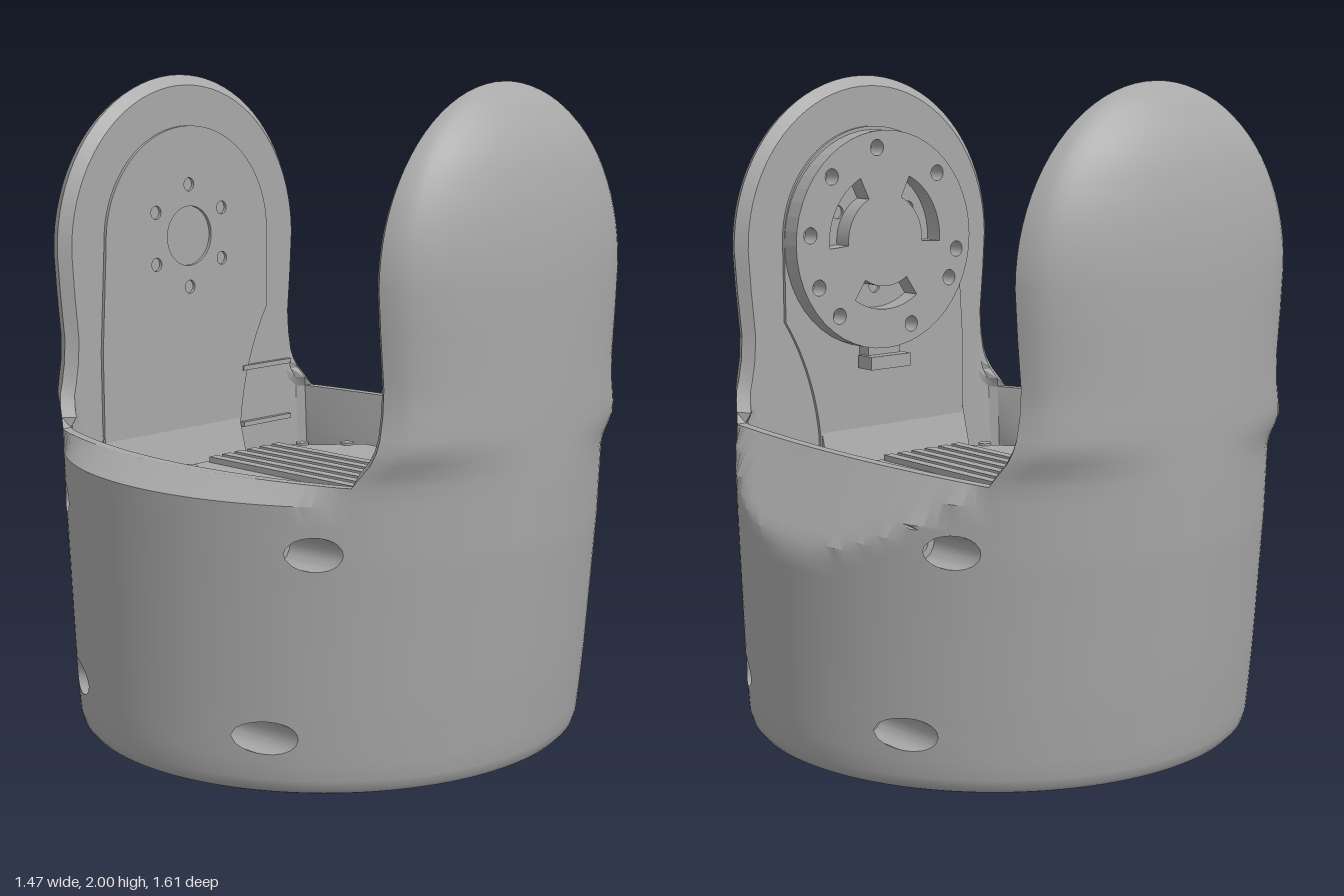
import * as THREE from 'three';
import { toCreasedNormals } from 'three/addons/utils/BufferGeometryUtils.js';

const grey = new THREE.MeshStandardMaterial({ color: 0xa8a8a8, side: THREE.DoubleSide });
grey.name = 'plain grey';

const STEP = Math.PI / 72, C45 = Math.SQRT1_2; // 144 columns round the shell
const range = (a, b) => Array.from({ length: b - a + 1 }, (_, i) => a + i);
const clamp = THREE.MathUtils.clamp, mix = THREE.MathUtils.lerp;

// Piecewise linear profile
const table = (pts) => (y) => {
  for (let i = 1; i < pts.length; i++) {
    if (y <= pts[i][0]) {
      const [p, q] = [pts[i - 1], pts[i]];
      return mix(p[1], q[1], clamp((y - p[0]) / (q[0] - p[0]), 0, 1));
    }
  }
  return pts[pts.length - 1][1];
};
const halfX = table([[0.165, 0.7], [0.172, 0.715], [0.185, 0.725], [0.21, 0.732], [0.28, 0.735], [1, 0.735]]);
const halfZ = table([[0.165, 0.69], [0.172, 0.707], [0.185, 0.718], [0.21, 0.725], [0.4, 0.75], [0.6, 0.77], [0.8, 0.79],
  [1, 0.8], [1.2, 0.803], [1.5, 0.803], [1.6, 0.798], [1.7, 0.785], [1.8, 0.762], [1.87, 0.735], [1.95, 0.685], [2, 0.625]]);
const neck = table([[1, 0.52], [1.06, 0.495], [1.12, 0.475], [1.18, 0.464], [1.25, 0.46], [1.38, 0.472], [1.5, 0.48]]);
const prongW = (y) => (y < 1.5 ? neck(y) : 0.48 * Math.sqrt(Math.max(0, 1 - ((y - 1.5) / 0.5) ** 2)));
const capRight = table([[0.75, 0.8], [0.8, 0.715], [1, 0.56]]);
const capLeft = table([[0.94, 0.76], [0.95, 0.735], [1, 0.635]]);
const ellipseZ = (x, y) => halfZ(y) * Math.sqrt(Math.max(0, 1 - (x / halfX(y)) ** 2));

// Outer skin: an oval body with chamfered side lips, and two prongs above y = 1
function outer(t, y) {
  const c = Math.cos(t), s = Math.sin(t);
  if (y <= 1) {
    const z = halfZ(y) * s;
    const cap = c > 0 ? capRight(y) - 0.12 * z * z * clamp((y - 0.8) / 0.2, 0, 1)
      : capLeft(y) - 0.35 * z * z * clamp((y - 0.95) / 0.05, 0, 1);
    return [clamp(halfX(y) * c, -cap, cap), y, z];
  }
  const k = c / C45, x = prongW(y) * k;
  const rounded = 0.62 + (halfZ(y) - 0.62) * Math.max(0, 1 - k * k) ** 0.6;
  return [x, y, Math.sign(s) * mix(ellipseZ(x, y), rounded, THREE.MathUtils.smoothstep(y, 1, 1.12))];
}
// Inner skin: a boxy cavity and flat prong faces
function inner(t, y) {
  const c = Math.cos(t), s = Math.sin(t);
  if (Math.abs(s) > C45 - 1e-6) {
    const x = prongW(Math.max(y, 1)) * 0.94 * c / C45;
    const z = y > 1 ? Math.abs(outer(t, y)[2]) : ellipseZ(x, y);
    return [x, y > 1.5 ? 1.5 + (y - 1.5) * 0.94 : y, Math.sign(s) * Math.min(0.59, z - 0.03)];
  }
  const zc = Math.min(0.59, ellipseZ(0.489, y) - 0.03);
  const lip = Math.abs(outer(t, 1)[0]) - 0.03;
  return [Math.sign(c) * mix(0.489, lip, clamp((y - 0.82) / 0.18, 0, 1)), y, zc * s / C45];
}

function surface(name, tris, crease = 0.6) {
  const g = new THREE.BufferGeometry();
  g.setAttribute('position', new THREE.Float32BufferAttribute(tris.flat(), 3));
  const m = new THREE.Mesh(toCreasedNormals(g, crease), grey);
  m.name = name;
  return m;
}
const quad = (out, a, b, c, d) => out.push(a, b, c, a, c, d);
function sheet(out, cols, rows, fn, skip = () => false) {
  for (let i = 0; i + 1 < rows.length; i++) for (let j = 0; j + 1 < cols.length; j++) {
    if (skip(i, cols[j])) continue;
    quad(out, fn(cols[j], rows[i]), fn(cols[j], rows[i + 1]), fn(cols[j + 1], rows[i + 1]), fn(cols[j + 1], rows[i]));
  }
}

function buildShell(group) {
  const skin = [], lining = [];
  const rows = [0.165, 0.172, 0.185, 0.21, 0.26, 0.29, 0.325, 0.36, 0.39, 0.46, 0.55, 0.65, 0.72, 0.76, 0.8, 0.825, 0.85, 0.89, 0.95, 1];
  const prongRows = [1, 1.03, 1.06, 1.09, 1.12, 1.18, 1.25, 1.38];
  for (let i = 0; i <= 20; i++) prongRows.push(1.5 + 0.5 * Math.sin(i * Math.PI / 40));

  // Counterbored screw holes, mirrored to all four corners
  const holes = [];
  for (const back of [false, true]) for (const left of [false, true])
    for (const [c0, c1, r0, r1, x, y, shelf] of [[11, 19, 13, 17, 0.575, 0.825, 0.36], [7, 17, 4, 8, 0.633, 0.325, 0.2]]) {
      let [p, q] = left ? [72 - c1, 72 - c0] : [c0, c1];
      if (back) [p, q] = [144 - q, 144 - p];
      holes.push({ c0: p, c1: q, r0, r1, x: left ? -x : x, y, back, shelf: back ? -shelf : shelf });
    }
  const inHole = (i, j) => holes.some((h) => j >= h.c0 && j < h.c1 && i >= h.r0 && i < h.r1);
  sheet(skin, range(0, 144), rows, (j, y) => outer(j * STEP, y), inHole);
  for (const h of holes) {
    const loop = [];
    for (let j = h.c0; j < h.c1; j++) loop.push([j, h.r0]);
    for (let i = h.r0; i < h.r1; i++) loop.push([h.c1, i]);
    for (let j = h.c1; j > h.c0; j--) loop.push([j, h.r1]);
    for (let i = h.r1; i > h.r0; i--) loop.push([h.c0, i]);
    const chains = loop.map(([j, i]) => {
      const t = j * STEP, y = rows[i], p = outer(t, y);
      const ang = Math.atan2(y - h.y, p[0] - h.x), dx = Math.cos(ang), dy = Math.sin(ang);
      const cx = h.x + 0.045 * dx, cy = h.y + 0.045 * dy;
      const a = Math.acos(cx / halfX(cy)), ct = h.back ? 2 * Math.PI - a : a;
      const chain = [0, 1, 2, 3].map((m) => outer(mix(t, ct, m / 3), mix(y, cy, m / 3)));
      chain.push([cx, cy, h.shelf], [h.x + 0.025 * dx, h.y + 0.025 * dy, h.shelf]);
      if (!h.back) chain.push([h.x + 0.025 * dx, h.y + 0.025 * dy, -h.shelf]);
      return chain;
    });
    chains.forEach((a, k) => {
      const b = chains[(k + 1) % chains.length];
      for (let m = 0; m + 1 < a.length; m++) quad(skin, a[m], a[m + 1], b[m + 1], b[m]);
    });
  }
  // Bottom rim
  sheet(skin, range(0, 144), [0, 1, 2], (j, v) => {
    const p = outer(j * STEP, 0.165), f = v === 2 ? 1 : 0.94;
    return [p[0] * f, v === 0 ? 0.23 : 0.165, p[2] * f];
  });
  // Side lips, cavity walls and prongs
  const down = [1, 0.95, 0.9, 0.86, 0.82, 0.6, 0.4, 0.24];
  for (const [a, b] of [[-18, 18], [54, 90]]) {
    sheet(lining, range(a, b), [0, 1], (j, v) => (v ? inner : outer)(j * STEP, 1));
    sheet(lining, range(a, b), down, (j, y) => inner(j * STEP, y));
  }
  for (const [a, b] of [[18, 54], [90, 126]]) {
    sheet(skin, range(a, b), prongRows, (j, y) => outer(j * STEP, y));
    sheet(lining, range(a, b), [...prongRows].reverse().concat(down.slice(1)), (j, y) => inner(j * STEP, y));
    for (const e of [a, b])
      sheet(lining, e === a ? [0, 1] : [1, 0], prongRows, (v, y) => (v === 0 ? inner : outer)(e * STEP, y));
  }
  group.add(surface('outerShell', skin), surface('shellLining', lining, 0.4));
}

export function createModel() {
  const group = new THREE.Group();
  const add = (name, geo, x = 0, y = 0, z = 0) => {
    const m = new THREE.Mesh(geo, grey);
    m.name = name;
    m.position.set(x, y, z);
    group.add(m);
    return m;
  };
  const box = (name, x0, x1, y0, y1, z0, z1) =>
    add(name, new THREE.BoxGeometry(x1 - x0, y1 - y0, z1 - z0), (x0 + x1) / 2, (y0 + y1) / 2, (z0 + z1) / 2);
  const drum = (name, r, y0, y1, x = 0, z = 0, n = 48) =>
    add(name, new THREE.CylinderGeometry(r, r, y1 - y0, n), x, (y0 + y1) / 2, z);
  const outline = (pts) => new THREE.Shape(pts.map(([x, z]) => new THREE.Vector2(x, -z)));
  const extrude = (shape, depth) => new THREE.ExtrudeGeometry(shape, { depth, bevelEnabled: false, curveSegments: 24 });
  const prism = (name, shape, y0, y1) => add(name, extrude(shape, y1 - y0).rotateX(-Math.PI / 2), 0, y0);
  const circle = (x, y, r) => new THREE.Path().absarc(x, y, r, 0, Math.PI * 2, true);

  buildShell(group);

  // Floor with two corner openings
  const floor = new THREE.Shape().absellipse(0, 0, 0.675, 0.665, 0, Math.PI * 2);
  for (const s of [1, -1]) floor.holes.push(outline([[-0.375, 0.46 * s], [-0.29, 0.46 * s], [-0.29, 0.39 * s], [-0.375, 0.27 * s]]));
  prism('floorPlate', floor, 0.21, 0.25);

  // Output coupling below
  const octagon = (x, z, c) => [[x, z - c], [x - c, z], [c - x, z], [-x, z - c], [-x, c - z], [c - x, -z], [x - c, -z], [x, c - z]];
  prism('couplingFlange', outline(octagon(0.41, 0.39, 0.16)), 0.165, 0.215);
  prism('halfFlange', outline([[0, 0.39], [-0.25, 0.39], [-0.41, 0.23], [-0.41, -0.23], [-0.25, -0.39], [0, -0.39], [0, -0.31],
    [-0.2, -0.25], [-0.32, 0], [-0.2, 0.25], [0, 0.31]]), 0.1, 0.17);
  drum('couplingRing', 0.33, 0.15, 0.18);
  drum('couplingDisc', 0.29, 0.08, 0.16);
  box('couplingTab', 0.2, 0.375, 0.08, 0.12, -0.13, 0.13);
  drum('hexShaft', 0.087, 0, 0.1, 0, 0, 6).rotation.y = Math.PI / 2;
  for (let i = 0; i < 4; i++) {
    const a = i * Math.PI / 2 + Math.PI / 4;
    drum('discScrew', 0.018, 0.074, 0.09, 0.2 * Math.cos(a), 0.2 * Math.sin(a), 12);
    drum('flangeScrew', 0.03, 0.155, 0.18, 0.39 * Math.cos(a), 0.39 * Math.sin(a), 16);
  }

  // Motor block with cooling ribs and screws
  prism('motorBody', outline(octagon(0.36, 0.36, 0.13)), 0.3, 0.87);
  prism('motorCap', outline(octagon(0.37, 0.365, 0.17)), 0.84, 0.875);
  for (let i = 0; i < 6; i++) box('coolingRib', -0.145 + i * 0.052, -0.113 + i * 0.052, 0.86, 0.892, -0.35, 0.35);
  for (const sx of [1, -1]) for (const sz of [1, -1]) for (const [x, z] of [[0.235, 0.335], [0.33, 0.235]])
    drum('motorScrew', 0.02, 0.82, 0.882, x * sx, z * sz, 16);

  // Inner bracket: rails, clips, cross plate
  box('crossPlate', -0.28, 0.22, 0.25, 0.55, -0.46, 0.46);
  for (const s of [1, -1]) {
    box('sideRail', Math.min(s * 0.38, s * 0.47), Math.max(s * 0.38, s * 0.47), 0.25, 0.6, -0.5, 0.5);
    box('sideClip', Math.min(s * 0.37, s * 0.485), Math.max(s * 0.37, s * 0.485), 0.4, 0.8, -0.13, 0.05);
    const wedge = new THREE.Shape([[0.05, 0.4], [0.13, 0.4], [0.13, 0.55], [0.05, 0.8]].map(([z, y]) => new THREE.Vector2(-z, y)));
    add('clipWedge', extrude(wedge, 0.115).rotateY(Math.PI / 2), s > 0 ? 0.37 : -0.485);
    // Sloped foot of each bracket arm
    const foot = new THREE.Shape([[0.585, 0.95], [0.455, 0.45], [0.585, 0.45]].map(([z, y]) => new THREE.Vector2(-s * z, y)));
    add('armFoot', extrude(foot, 0.56).rotateY(Math.PI / 2), -0.355);
  }
  box('rightLedge', 0.21, 0.48, 0.45, 0.6, -0.52, -0.38);

  // Bracket arms on the prong faces
  const arm = new THREE.Shape();
  arm.moveTo(-0.35, 0.6).lineTo(0.21, 0.6).lineTo(0.21, 0.92).quadraticCurveTo(0.23, 1.12, 0.33, 1.28);
  arm.lineTo(0.33, 1.52).absarc(0, 1.52, 0.33, 0, Math.PI, false).lineTo(-0.35, 1.2);
  arm.holes.push(circle(0, 1.52, 0.09));
  for (let i = 0; i < 6; i++) {
    const a = Math.PI / 2 + i * Math.PI / 3;
    arm.holes.push(circle(0.155 * Math.cos(a), 1.52 + 0.155 * Math.sin(a), 0.02));
  }
  for (const z of [-0.592, 0.58]) add('bracketArm', extrude(arm, 0.012), 0, 0, z);
  for (const y of [0.9, 1.08]) box('liningRib', 0.22, 0.43, y, y + 0.015, -0.595, -0.575);

  // Pivot disc on the front prong, with three curved slots
  const disc = new THREE.Shape().absarc(0, 0, 0.33, 0, Math.PI * 2);
  for (const mid of [30, 150, 270]) {
    const a0 = (mid - 34) * Math.PI / 180, a1 = (mid + 34) * Math.PI / 180;
    disc.holes.push(new THREE.Path().absarc(0, 0, 0.21, a0, a1, false).absarc(0, 0, 0.14, a1, a0, true).closePath());
  }
  for (const deg of [6, 45, 84, 136, 189, 208, 250, 309, 333]) {
    const a = deg * Math.PI / 180;
    disc.holes.push(circle(0.28 * Math.cos(a), 0.28 * Math.sin(a), 0.024));
  }
  add('pivotDisc', extrude(disc, 0.065), 0, 1.51, 0.52);
  box('pivotStop', -0.075, 0.075, 1.12, 1.16, 0.5, 0.565);
  box('pivotStopStem', -0.06, 0.06, 1.14, 1.22, 0.535, 0.59);
  return group;
}
